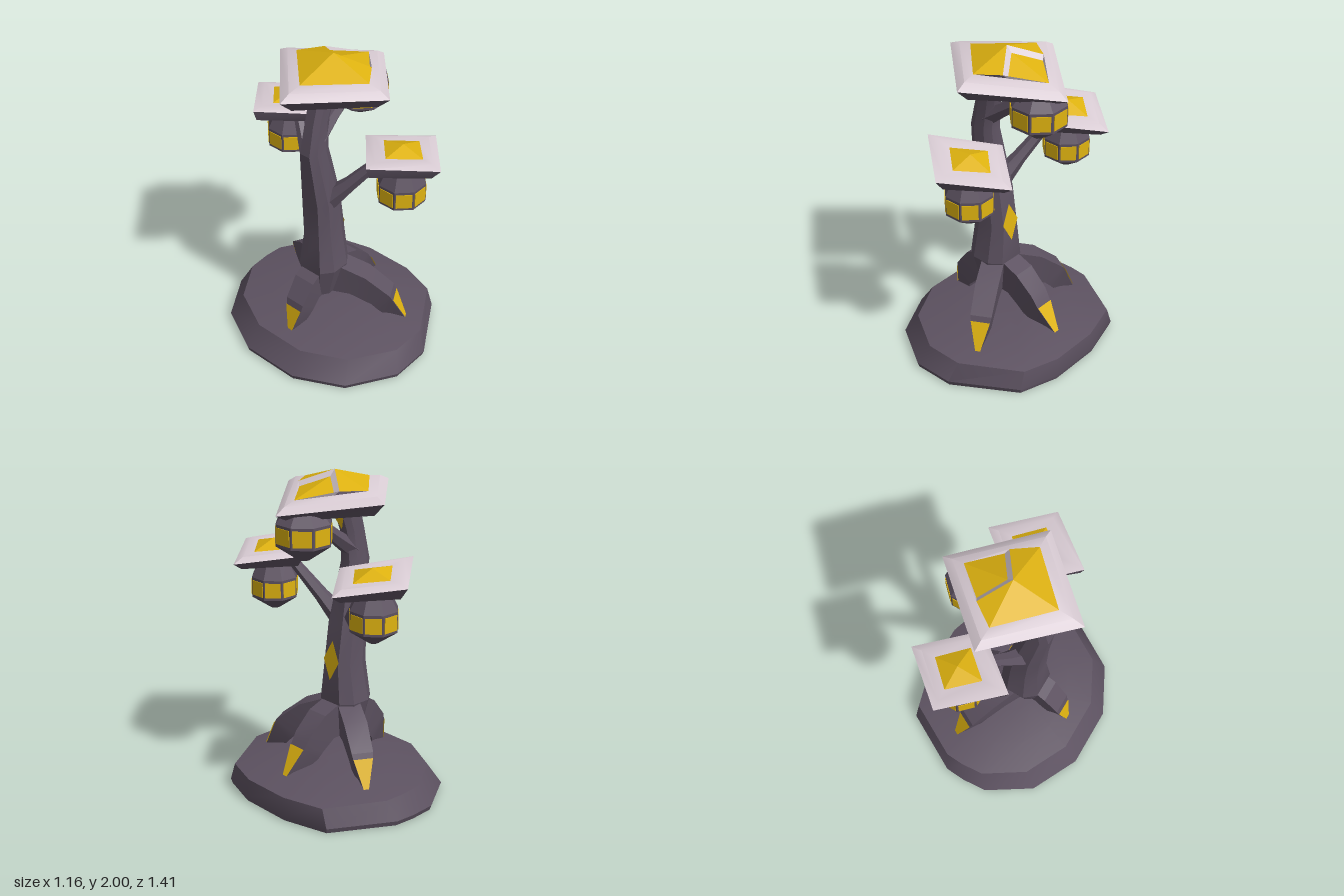
import * as THREE from 'three';
import { toCreasedNormals } from 'three/addons/utils/BufferGeometryUtils.js';

const V = (x, y, z) => new THREE.Vector3(x, y, z);
const mat = (name, color) => Object.assign(new THREE.MeshStandardMaterial({ color, side: THREE.DoubleSide }), { name });

// Geometry from polygons, each drawn as a fan
function polys(list, crease = 0.3) {
  const pos = [];
  for (const p of list)
    for (let i = 1; i < p.length - 1; i++) for (const q of [p[0], p[i], p[i + 1]]) pos.push(q.x, q.y, q.z);
  const g = new THREE.BufferGeometry();
  g.setAttribute('position', new THREE.Float32BufferAttribute(pos, 3));
  return toCreasedNormals(g, crease);
}

// Skin over a stack of rings, with optional caps
function loft(rings, capped = true, crease = 0.3) {
  const list = [], n = rings[0].length;
  for (let k = 0; k < rings.length - 1; k++)
    for (let i = 0; i < n; i++) {
      const j = (i + 1) % n, a = rings[k], b = rings[k + 1];
      list.push([a[i], a[j], b[j]], [a[i], b[j], b[i]]);
    }
  if (capped) list.push([...rings[0]].reverse(), rings[rings.length - 1]);
  return polys(list, crease);
}

export function createModel() {
  const model = new THREE.Group();
  const stone = mat('dark stone', 0x5d5261);
  const pale = mat('pale trim', 0xdacdd5);
  const gold = mat('gold glass', 0xdfb310);
  const add = (name, geo, material, parent = model) => {
    const m = new THREE.Mesh(geo, material);
    m.name = name;
    parent.add(m);
    return m;
  };

  // Rocky base: irregular outline, shrunk into a low dome
  const outline = [[.58, .18], [.58, -.17], [.5, -.46], [.13, -.67], [0, -.68], [-.16, -.67], [-.43, -.5],
    [-.58, -.2], [-.58, .18], [-.43, .48], [-.14, .66], [.12, .66], [.5, .43]];
  const baseRing = (s, y, shift, tilt = 0) => outline.map(([x, z]) => V(x * s + shift, y + x * tilt, z * s));
  add('base', loft([baseRing(.985, 0, 0), baseRing(1, .03, 0), baseRing(.91, .155, .04, -.02),
    baseRing(.6, .195, .02), baseRing(.25, .213, 0)], true, 0.6), stone);

  // Trunk: octagonal sections [y, back x, front x, half depth]
  const trunkRing = ([y, x0, x1, hz]) => {
    const c = (x0 + x1) / 2, h = (x1 - x0) / 2;
    return [[1, .6], [1, -.6], [.45, -1], [-.45, -1], [-1, -.6], [-1, .6], [-.45, 1], [.45, 1]]
      .map(([a, b]) => V(c + a * h, y, b * hz));
  };
  add('trunk', loft([[.34, -.17, .01, .08], [.56, -.21, .05, .14], [.8, -.19, .04, .1], [1.05, -.2, .005, .1],
    [1.43, -.24, -.075, .06], [1.62, -.2, -.06, .052], [1.84, -.14, .02, .055]].map(trunkRing)), stone);

  // Gold diamonds on the trunk
  const diamond = (y0, y1, x0, x1, w) => {
    const ym = (y0 + y1) / 2, xm = (x0 + x1) / 2;
    return polys([[V(x0, y0, 0), V(xm, ym, -w), V(x1, y1, 0), V(xm, ym, w)]]);
  };
  add('lowerTrunkDiamond', diamond(.7, .95, .052, .028, .066), gold);
  add('upperTrunkDiamond', diamond(1.63, 1.78, -.048, .006, .04), gold);

  // Roots arching from the trunk, each with a gold claw plate
  function root(tx, tz, kneeU, kneeY) {
    const d = V(tx + .07, 0, tz), tip = d.length();
    d.normalize();
    const s = V(0, 1, 0).cross(d);
    const at = (u, y, w) => V(-.07, y, 0).addScaledVector(d, u).addScaledVector(s, w);
    const f = (kneeY - .34) / (kneeY - .16);
    const stations = [ // outer u, outer y, inner u, inner y, half width
      [.08, .57, .03, .34, .07],
      [.08 + (kneeU - .08) * .55, (.57 + kneeY) / 2 + .025, .08 + (kneeU - .2) * .4, .335, .072],
      [kneeU, kneeY, kneeU - .12, .27, .066],
      [kneeU + (tip - kneeU) * f, .34, kneeU - .08, .23, .06],
      [tip, .16, tip - .1, .14, .012]];
    const g = new THREE.Group();
    g.name = 'root';
    model.add(g);
    add('rootLimb', loft(stations.map(([ou, oy, iu, iy, w]) =>
      [at(ou, oy, w), at(ou, oy, -w), at(iu, iy, -w * .75), at(iu, iy, w * .75)])), stone, g);
    const [a, b] = [stations[3], stations[4]], e = .006;
    add('rootClaw', polys([[at(a[0] + e, a[1], a[4]), at(b[0] + e, b[1], b[4]),
      at(b[0] + e, b[1], -b[4]), at(a[0] + e, a[1], -a[4])]]), gold, g);
  }
  root(.43, 0, .34, .41);
  root(-.4, 0, .28, .38);
  for (const k of [1, -1]) root(.18, .46 * k, .43, .37);

  // Branches: tapered hexagonal limbs
  function branch(name, pts, radii) {
    const rings = pts.map((p, i) => {
      const t = pts[Math.min(i + 1, pts.length - 1)].clone().sub(pts[Math.max(i - 1, 0)]).normalize();
      const s = V(0, 1, 0).cross(t).normalize(), n = t.clone().cross(s);
      return Array.from({ length: 6 }, (_, j) => p.clone()
        .addScaledVector(s, radii[i] * Math.cos(j * Math.PI / 3))
        .addScaledVector(n, radii[i] * Math.sin(j * Math.PI / 3)));
    });
    add(name, loft(rings), stone);
  }
  branch('topBranch', [V(-.13, 1.5, 0), V(.01, 1.6, 0), V(.22, 1.75, 0)], [.06, .045, .045]);
  for (const k of [1, -1])
    branch('sideBranch', [V(-.09, 1.05, .04 * k), V(-.03, 1.19, .16 * k), V(.07, 1.41, .33 * k)], [.07, .045, .03]);

  // Eight-sided hanging lanterns with a window in each face
  function lantern(x, z, r, y) {
    const g = new THREE.Group();
    g.name = 'lantern';
    g.position.set(x, 0, z);
    model.add(g);
    const ring = ([rad, h]) => Array.from({ length: 8 }, (_, i) => {
      const a = (i + .5) * Math.PI / 4, q = rad / Math.cos(Math.PI / 8);
      return V(q * Math.cos(a), h, -q * Math.sin(a));
    });
    add('lanternBody', loft([[r * .2, y[0]], [r, y[1]], [r, y[2]], [r * .6, y[3]]].map(ring)), stone, g);
    for (let i = 0; i < 8; i++) {
      const a = i * Math.PI / 4;
      const w = add('lanternWindow', new THREE.BoxGeometry(r * .7, (y[2] - y[1]) * .74, .008), gold, g);
      w.position.set(Math.sin(a) * r, (y[1] + y[2]) / 2, Math.cos(a) * r);
      w.rotation.y = a;
    }
  }
  lantern(.25, 0, .157, [1.505, 1.6, 1.73, 1.81]);
  for (const k of [1, -1]) lantern(.11, .435 * k, .135, [1.08, 1.16, 1.285, 1.4]);

  // Diamond roofs: dark underside and pale frame; corners run +x, -z, -x, +z
  function roof(name, outer, inner, under) {
    const g = new THREE.Group();
    g.name = name;
    model.add(g);
    const mid = outer.map((p, i) => p.clone().lerp(inner[i], .45).add(V(0, .012, 0)));
    add('roofUnderside', loft([under, outer], false), stone, g);
    add('roofBottom', polys([[...under].reverse()]), stone, g);
    add('roofFrame', loft([outer, mid, inner], false, 0.6), pale, g);
    return g;
  }

  // Top roof with a gold pyramid and an opening on the +x side
  const topInner = [V(.32, 1.865, 0), V(0, 1.915, -.27), V(-.27, 1.92, 0), V(0, 1.915, .27)];
  const top = roof('topRoof',
    [V(.46, 1.795, 0), V(.01, 1.862, -.41), V(-.43, 1.877, 0), V(.01, 1.862, .41)], topInner,
    [V(.36, 1.75, 0), V(.01, 1.785, -.33), V(-.34, 1.79, 0), V(.01, 1.785, .33)]);
  const [R, B, L, F] = topInner, apex = V(.01, 2, 0), notch = V(.045, 1.962, 0);
  const sideF = V(.135, 1.918, .175), sideB = V(.135, 1.918, -.175);
  const inF = V(.15, 1.893, .15), inB = V(.15, 1.893, -.15);
  add('roofPyramid', polys([[apex, L, F], [apex, B, L], [apex, F, sideF], [apex, sideB, B]]), gold, top);
  add('roofSkylight', polys([[notch, inF, R], [notch, R, inB]]), gold, top);
  add('skylightRim', polys([[apex, sideF, inF, notch], [apex, notch, inB, sideB],
    [sideF, R, inF], [sideB, inB, R]]), pale, top);

  // Two smaller roofs over the side lanterns
  for (const k of [1, -1]) {
    const z = .43 * k;
    const inner = [V(.27, 1.462, z), V(.12, 1.482, z - .143), V(-.04, 1.505, z), V(.12, 1.482, z + .143)];
    const g = roof('sideRoof',
      [V(.43, 1.415, z), V(.115, 1.462, z - .273), V(-.21, 1.527, z), V(.115, 1.462, z + .273)], inner,
      [V(.37, 1.375, z), V(.11, 1.39, z - .215), V(-.185, 1.455, z), V(.11, 1.39, z + .215)]);
    const peak = V(.12, 1.522, z);
    add('roofPyramid', polys(inner.map((p, i) => [p, inner[(i + 1) % 4], peak]), .1), gold, g);
  }
  return model;
}
